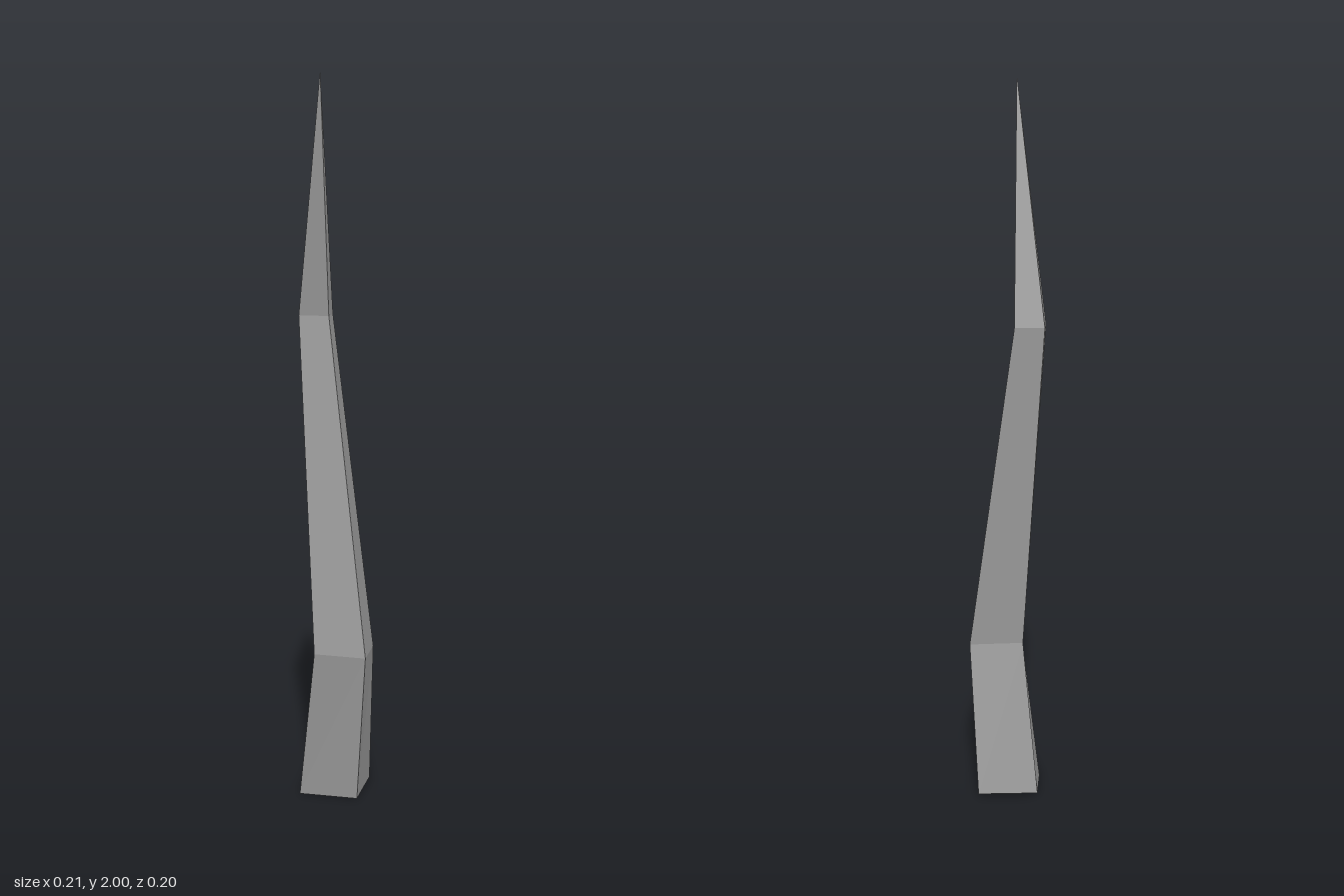
import * as THREE from 'three';

// Cross-sections from base upward; corners: front left, front right, back right, back left
const rings = [
  [[-0.094, 0, 0.043], [0.071, 0, 0.045], [0.077, 0.01, -0.101], [-0.09, 0.01, -0.09]],
  [[-0.038, 0.43, 0.1], [0.104, 0.425, 0.093], [0.104, 0.43, -0.015], [-0.046, 0.435, -0.01]],
  [[-0.106, 1.35, -0.012], [-0.022, 1.35, -0.012], [-0.022, 1.35, -0.063], [-0.103, 1.35, -0.06]],
];
const tip = [-0.024, 2, 0.078];

export function createModel() {
  const group = new THREE.Group();
  const positions = [];
  const tri = (a, b, c) => positions.push(...a, ...b, ...c);
  const quad = (a, b, c, d) => { tri(a, b, c); tri(a, c, d); };

  // Bent sides between neighbouring cross-sections
  for (let r = 0; r < rings.length - 1; r++) {
    for (let i = 0; i < 4; i++) {
      const j = (i + 1) % 4;
      quad(rings[r][i], rings[r][j], rings[r + 1][j], rings[r + 1][i]);
    }
  }

  // Pointed end
  const last = rings[rings.length - 1];
  for (let i = 0; i < 4; i++) tri(last[i], last[(i + 1) % 4], tip);

  // Base cap
  const [fl, fr, br, bl] = rings[0];
  quad(fl, bl, br, fr);

  const geometry = new THREE.BufferGeometry();
  geometry.setAttribute('position', new THREE.Float32BufferAttribute(positions, 3));
  geometry.computeVertexNormals();

  const spike = new THREE.Mesh(geometry, new THREE.MeshStandardMaterial({ color: 0x9a9a9a, flatShading: true }));
  spike.name = 'bentSpike';
  group.add(spike);
  return group;
}
